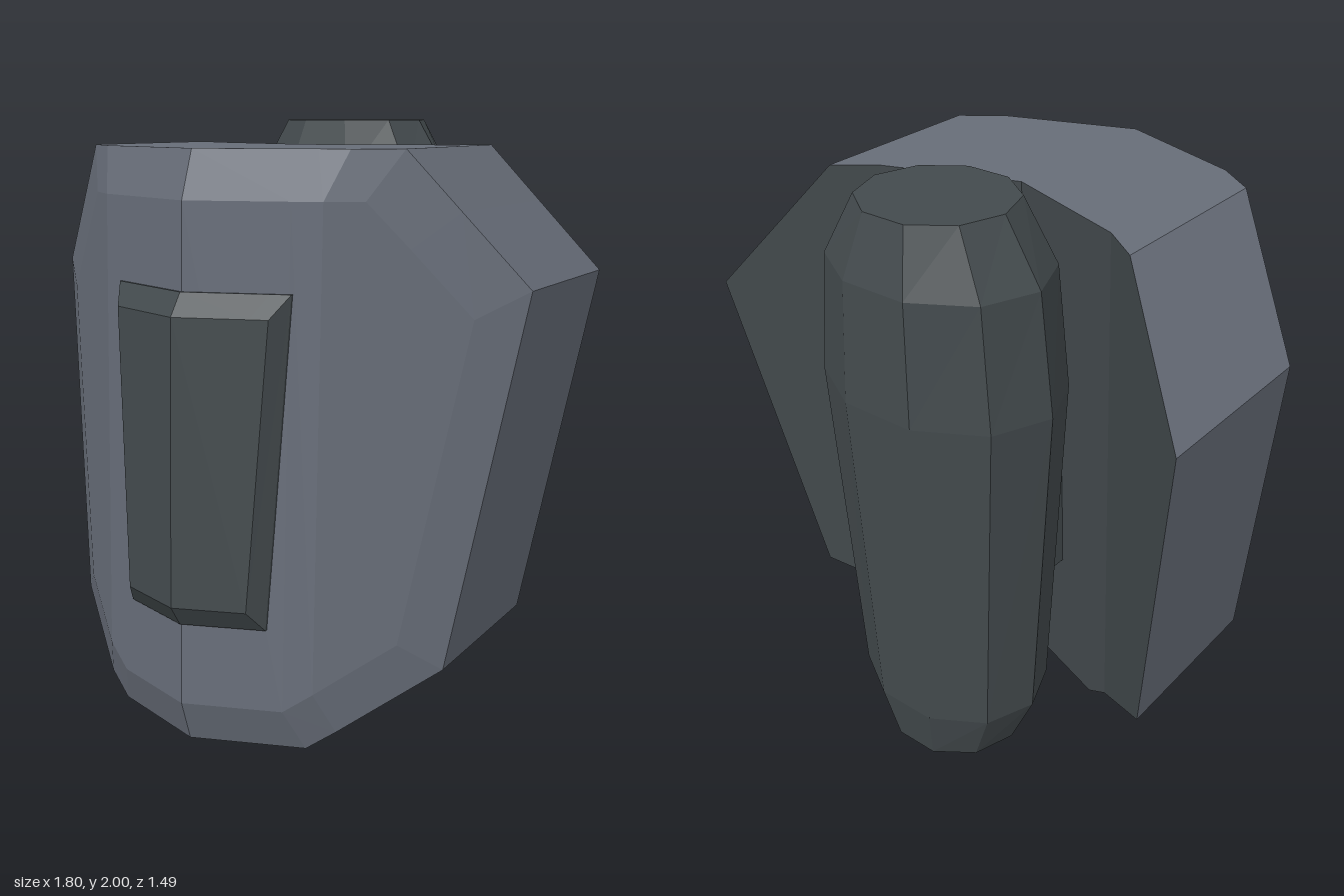
import * as THREE from 'three';

const shellMat = new THREE.MeshStandardMaterial({ color: 0x676d78, flatShading: true });
shellMat.name = 'slate shell';
const darkMat = new THREE.MeshStandardMaterial({ color: 0x434a4d, flatShading: true });
darkMat.name = 'dark grey';

// Depth of the curved front: a shallow V that gets steeper past the bend, leaning out at the bottom
const bowedZ = (centre, bend) => (x, y) => {
  const a = Math.abs(x);
  return centre - 0.035 * y - 0.36 * Math.min(a, bend) - 0.75 * Math.max(0, a - bend);
};

// Lofts rings across x. Each station: [outer x, top, bottom, inner x, top, bottom].
// Segments of a ring: top wall, top bevel, front, bottom bevel, bottom wall, back.
function bevelledPlate(stations, outerZ, innerZ, depth, materials) {
  const mirrored = stations.slice(1).reverse().map(s => s.map((v, i) => (i % 3 === 0 ? -v : v)));
  const rings = [...mirrored, ...stations].map(([ox, ot, ob, ix, it, ib]) => [
    [ox, ot, outerZ(ox, ot) - depth], [ox, ot, outerZ(ox, ot)],
    [ix, it, innerZ(ix, it)], [ix, ib, innerZ(ix, ib)],
    [ox, ob, outerZ(ox, ob)], [ox, ob, outerZ(ox, ob) - depth],
  ].map(p => new THREE.Vector3(...p)));
  const points = [];
  const geometry = new THREE.BufferGeometry();
  const triangle = (a, b, c) => {
    if (new THREE.Triangle(a, b, c).getArea() > 1e-6) points.push(a, b, c);
  };
  for (let k = 0; k < 6; k++) {
    const start = points.length, n = (k + 1) % 6;
    for (let i = 0; i < rings.length - 1; i++) {
      const [p, q] = [rings[i], rings[i + 1]];
      triangle(p[k], p[n], q[n]);
      triangle(p[k], q[n], q[k]);
    }
    geometry.addGroup(start, points.length - start, k === 5 ? 1 : 0);
  }
  geometry.setFromPoints(points);
  geometry.computeVertexNormals();
  return new THREE.Mesh(geometry, materials);
}

// Faceted tank: ten-sided rings of [y, radius x, radius z], capped at both ends
function createTank() {
  const rows = [[0, 0.25, 0.242], [0.21, 0.345, 0.284], [1.4, 0.42, 0.323], [1.8, 0.375, 0.305], [2, 0.25, 0.242]];
  const geometry = new THREE.CylinderGeometry(1, 1, 2, 10, rows.length - 1);
  const pos = geometry.attributes.position;
  for (let i = 0; i < pos.count; i++) {
    const row = Math.round((pos.getY(i) + 1) / 2 * (rows.length - 1));
    const [y, rx, rz] = rows[row];
    // quarter turn puts a corner on the x axis
    pos.setXYZ(i, pos.getZ(i) * rx, y, -pos.getX(i) * rz);
  }
  geometry.computeVertexNormals();
  const tank = new THREE.Mesh(geometry, darkMat);
  tank.position.z = -0.44;
  return tank;
}

export function createModel() {
  const model = new THREE.Group();
  const add = (name, mesh) => { mesh.name = name; model.add(mesh); };

  // Bent main shell with a bevelled front and a dark back
  add('shell', bevelledPlate([
    [0, 1.92, 0.04, 0, 1.77, 0.18],
    [0.36, 1.92, 0.04, 0.31, 1.77, 0.18],
    [0.45, 1.92, 0.105, 0.40, 1.77, 0.246],
    [0.58, 1.92, 0.199, 0.50, 1.77, 0.32],
    [0.72, 1.736, 0.30, 0.61, 1.63, 0.40],
    [0.90, 1.50, 1.50, 0.77, 1.42, 1.42],
  ], bowedZ(0.657, 0.45), bowedZ(0.707, 0.40), 0.64, [shellMat, darkMat]));

  // Tapered raised panel on the front
  add('frontPanel', bevelledPlate([
    [0, 1.5, 0.45, 0, 1.43, 0.52],
    [0.26, 1.5, 0.45, 0.225, 1.43, 0.52],
    [0.32, 1.5, 1.5, 0.28, 1.43, 1.43],
  ], bowedZ(0.715, 0.5), bowedZ(0.763, 0.5), 0.12, [darkMat, darkMat]));

  // Rear tank and the bracket holding it to the shell
  add('tank', createTank());
  const bracket = new THREE.Mesh(new THREE.BoxGeometry(0.4, 0.4, 0.35), darkMat);
  bracket.position.set(0, 0.75, -0.05);
  add('bracket', bracket);
  return model;
}
